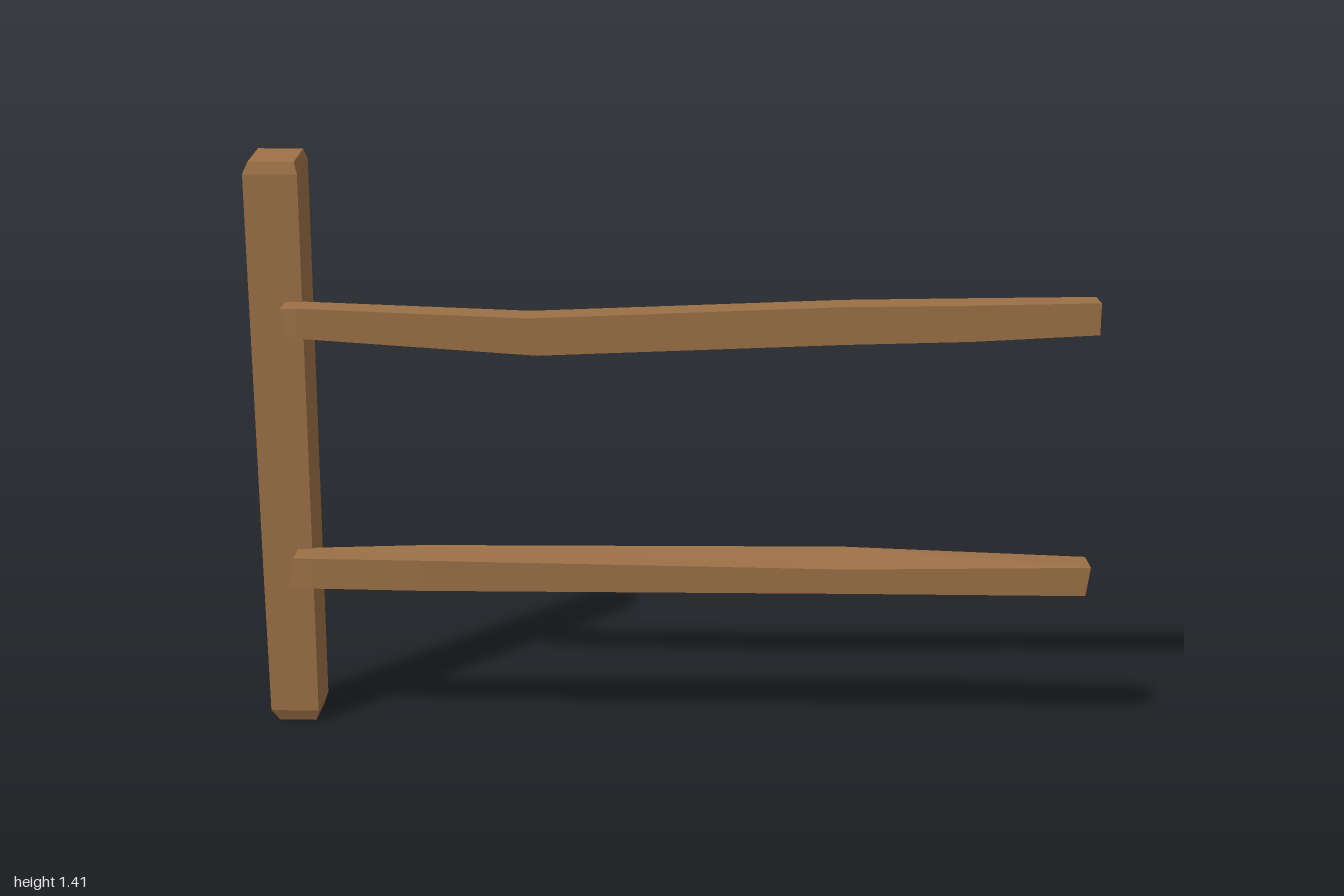
import * as THREE from 'three';

// Skins a row of four-cornered sections (counter-clockwise seen from the far end) and caps both ends.
function loft(sections) {
  const pos = [];
  const quad = (a, b, c, d) => pos.push(...a, ...b, ...c, ...a, ...c, ...d);
  for (let k = 0; k < sections.length - 1; k++) {
    const s = sections[k], t = sections[k + 1];
    for (let i = 0; i < 4; i++) {
      const j = (i + 1) % 4;
      quad(s[i], s[j], t[j], t[i]);
    }
  }
  const first = sections[0], last = sections[sections.length - 1];
  quad(first[3], first[2], first[1], first[0]);
  quad(...last);
  const g = new THREE.BufferGeometry();
  g.setAttribute('position', new THREE.Float32BufferAttribute(pos, 3));
  g.computeVertexNormals();
  return g;
}

// Post section: height at front and back, x range, z range.
const postSection = ([yf, yb, x0, x1, z0, z1]) =>
  [[x0, yf, z1], [x1, yf, z1], [x1, yb, z0], [x0, yb, z0]];

// Rail section: x at bottom and top, y of bottom, back top and front top, z range.
const railSection = ([xb, xt, y0, yb, yf, z0, z1]) =>
  [[xb, y0, z1], [xb, y0, z0], [xt, yb, z0], [xt, yf, z1]];

export function createModel() {
  const group = new THREE.Group();
  const wood = new THREE.MeshStandardMaterial({ color: 0x9a6f45, flatShading: true });
  wood.name = 'brown wood';

  const add = (name, sections) => {
    const mesh = new THREE.Mesh(loft(sections), wood);
    mesh.name = name;
    group.add(mesh);
  };

  // Upright post with worn, bevelled ends and a sloping top
  add('post', [
    [0, 0, -0.975, -0.885, -0.09, 0.015],
    [0.03, 0.03, -0.993, -0.875, -0.1, 0.028],
    [0.4, 0.4, -0.995, -0.873, -0.102, 0.025],
    [1.36, 1.38, -0.995, -0.867, -0.106, 0.027],
    [1.388, 1.406, -0.983, -0.875, -0.098, 0.018],
  ].map(postSection));

  // Upper rail, sagging near the post
  add('upperRail', [
    [-0.893, -0.908, 0.99, 1.06, 1.055, 0.03, 0.092],
    [-0.87, -0.87, 0.987, 1.06, 1.058, 0.021, 0.1],
    [-0.31, -0.33, 0.95, 1.04, 1.038, 0.018, 0.102],
    [0.4, 0.4, 0.979, 1.07, 1.068, 0.02, 0.1],
    [0.7, 0.7, 0.988, 1.075, 1.073, 0.018, 0.1],
    [0.992, 0.992, 1.005, 1.08, 1.08, 0.02, 0.1],
  ].map(railSection));

  // Lower rail, bowed backwards
  add('lowerRail', [
    [-0.92, -0.907, 0.373, 0.449, 0.446, 0.025, 0.088],
    [-0.86, -0.86, 0.372, 0.451, 0.447, 0.018, 0.095],
    [-0.6, -0.6, 0.371, 0.456, 0.447, 0.006, 0.102],
    [0.42, 0.42, 0.371, 0.452, 0.432, -0.02, 0.098],
    [0.99, 1, 0.371, 0.442, 0.442, 0.015, 0.1],
  ].map(railSection));

  return group;
}
